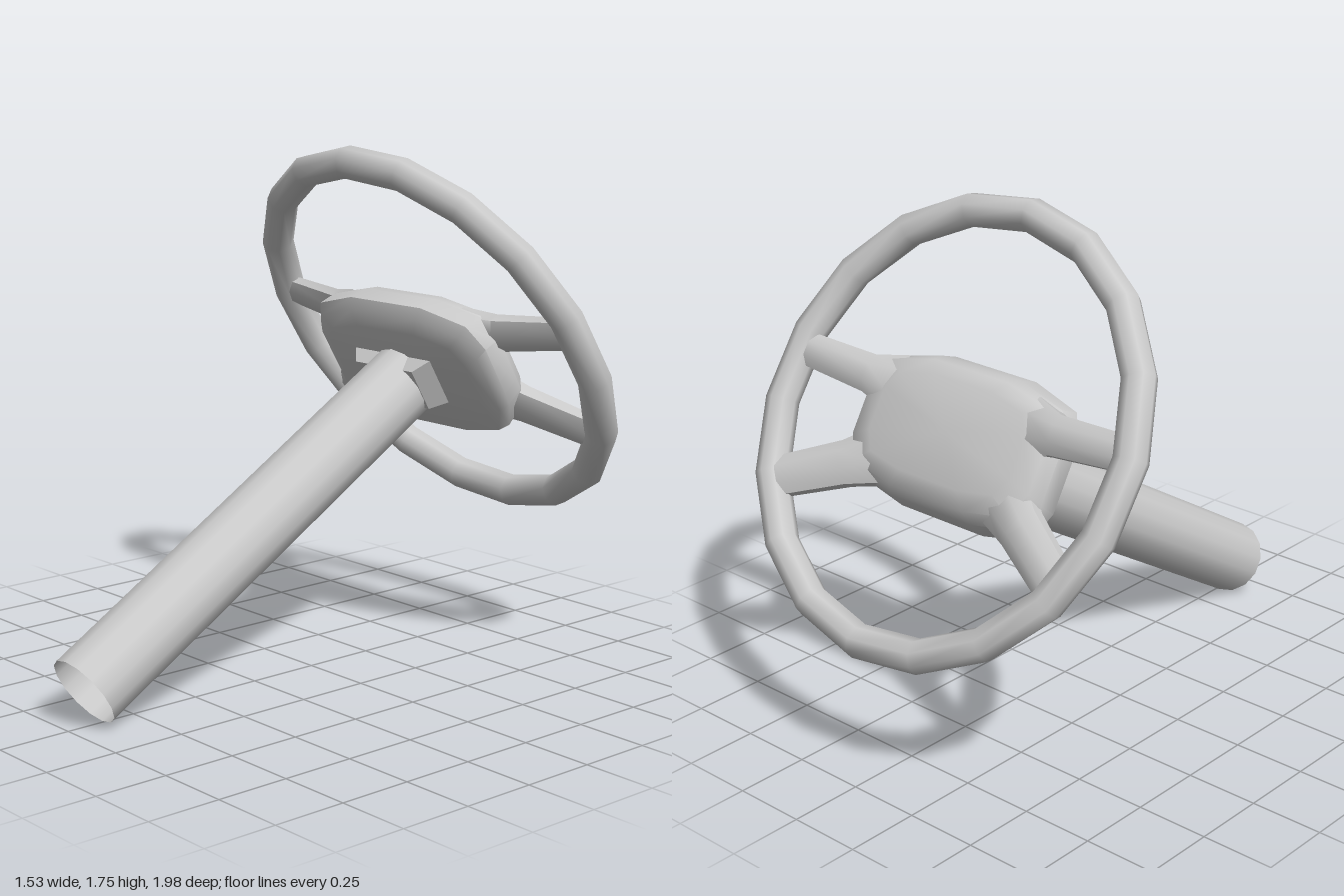
import * as THREE from 'three';
import { toCreasedNormals } from 'three/addons/utils/BufferGeometryUtils.js';

const material = new THREE.MeshStandardMaterial({ color: 0xcccccc, side: THREE.DoubleSide });

// Skin a list of equal-length rings (counter-clockwise about the loft axis) and cap both ends.
function loft(rings, crease) {
  const n = rings[0].length, index = [];
  const points = rings.flat();
  const centre = ring => ring.reduce((sum, p) => sum.add(p), new THREE.Vector3()).divideScalar(n);
  points.push(centre(rings[0]), centre(rings[rings.length - 1]));
  const start = points.length - 2, end = points.length - 1, last = (rings.length - 1) * n;
  for (let j = 0; j < n; j++) {
    const k = (j + 1) % n;
    for (let i = 0; i < rings.length - 1; i++) {
      const a = i * n, b = a + n;
      index.push(a + j, a + k, b + k, a + j, b + k, b + j);
    }
    index.push(start, k, j, end, last + j, last + k);
  }
  const geometry = new THREE.BufferGeometry().setFromPoints(points);
  geometry.setIndex(index);
  return toCreasedNormals(geometry, crease);
}

export function createModel() {
  const model = new THREE.Group();
  model.name = 'steeringWheelAndColumn';

  // Tilted assembly: local z runs down the column, local xy is the wheel plane
  const tilted = new THREE.Group();
  tilted.name = 'tiltedAssembly';
  tilted.position.set(0, 1.09, -0.56);
  tilted.rotation.x = 0.543;
  model.add(tilted);

  const add = (name, geometry) => {
    const mesh = new THREE.Mesh(geometry, material);
    mesh.name = name;
    tilted.add(mesh);
    return mesh;
  };

  // Rim
  const rim = add('rim', new THREE.TorusGeometry(0.713, 0.056, 8, 18));
  rim.rotation.z = THREE.MathUtils.degToRad(13);

  // Hollow column
  const column = add('column', new THREE.CylinderGeometry(0.13, 0.13, 1.64, 14, 1, true));
  column.rotation.x = Math.PI / 2;
  column.position.set(-0.01, -0.064, 0.96);

  // Hub pad: chamfered outline stacked from the driver's face to the rear cover
  const half = [[1, -0.45], [1, 0.45], [0.88, 0.8], [0.42, 1]];
  const outline = [[0.42, -1], [0.88, -0.85], ...half,
    [-0.42, 1], [-0.88, 0.8], [-1, 0.45], [-1, -0.45], [-0.88, -0.85], [-0.42, -1]];
  const hubLayers = [ // z, half width, bottom, top
    [0.0, 0.3, -0.17, 0.15],
    [0.02, 0.38, -0.225, 0.195],
    [0.06, 0.41, -0.255, 0.215],
    [0.13, 0.41, -0.275, 0.23],
    [0.16, 0.385, -0.275, 0.2],
    [0.18, 0.33, -0.205, 0.15],
  ];
  add('hub', loft(hubLayers.map(([z, w, lo, hi]) =>
    outline.map(([x, y]) => new THREE.Vector3(x * w, (lo + hi) / 2 + y * (hi - lo) / 2, z))), 0.75));

  // Flared collar where the column meets the hub
  const collarLayers = [[0.15, 0.21, -0.14, 0.05], [0.235, 0.14, -0.13, 0.03]];
  add('collar', loft(collarLayers.map(([z, w, lo, hi]) =>
    [[-w, lo], [w, lo], [w, hi], [-w, hi]].map(([x, y]) => new THREE.Vector3(x - 0.02, y, z))), 0.3));

  // Spokes: eight-sided sections, wide at the hub and narrow at the rim
  const spoke = stations => {
    const a = stations[0], b = stations[stations.length - 1];
    const along = new THREE.Vector2(b[0] - a[0], b[1] - a[1]).normalize();
    return loft(stations.map(([x, y, z, h, d]) => Array.from({ length: 8 }, (_, i) => {
      const t = (i + 0.5) * Math.PI / 4;
      const p = 1.08 * h * Math.cos(t), q = 1.08 * d * Math.sin(t);
      return new THREE.Vector3(x - along.y * p, y + along.x * p, z + q);
    })), 0.9);
  };
  for (const [side, s] of [['left', 1], ['right', -1]]) {
    // x, y, z, half height, half depth
    add(side + 'UpperSpoke', spoke([
      [s * 0.28, 0.085, 0.065, 0.1, 0.06],
      [s * 0.4, 0.088, 0.035, 0.064, 0.045],
      [s * 0.68, 0.1, 0, 0.055, 0.036],
    ]));
    add(side + 'LowerSpoke', spoke([
      [s * 0.26, -0.14, 0.075, 0.1, 0.06],
      [s * 0.38, -0.21, 0.046, 0.075, 0.05],
      [s * 0.595, -0.325, 0, 0.068, 0.04],
    ]));
  }
  return model;
}
